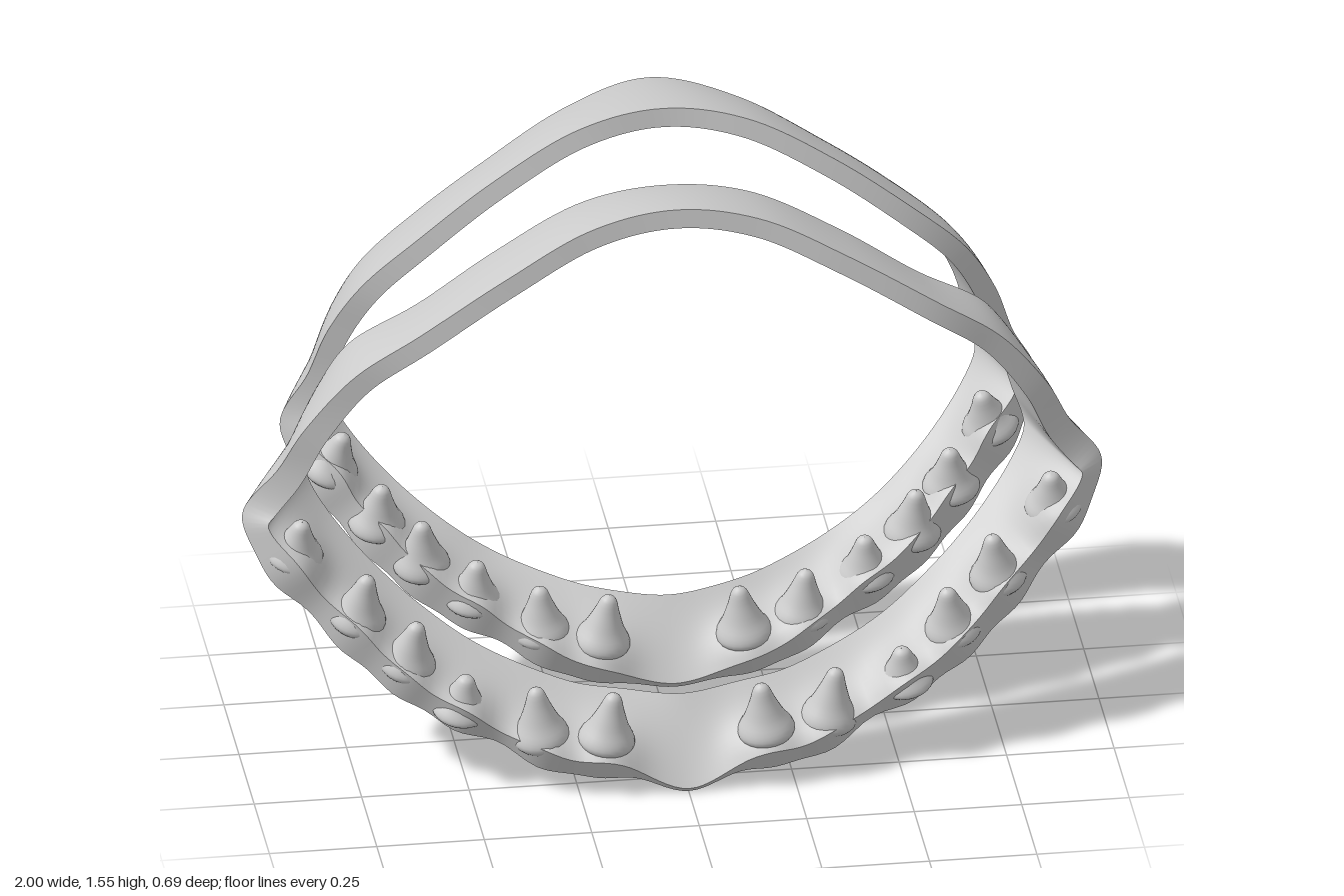
import * as THREE from 'three';

const material = new THREE.MeshStandardMaterial({ color: 0xcccccc, side: THREE.DoubleSide });
const STEPS = 240, ACROSS = 12;
const { smoothstep, lerp } = THREE.MathUtils;

// Closed, mirrored curve from the points of its left half (top to bottom).
function loopCurve(half) {
  const left = half.map(p => new THREE.Vector3(...p));
  const right = left.slice(1, -1).reverse().map(p => new THREE.Vector3(-p.x, p.y, p.z));
  return new THREE.CatmullRomCurve3([...left, ...right], true, 'catmullrom', 0.5);
}

// Band between a front and a back edge, thickened inwards, swelling into gums around the tooth roots.
function makeBand(frontHalf, backHalf, roots, name) {
  const front = loopCurve(frontHalf), back = loopCurve(backHalf);
  const middle = u => front.getPoint((u + 1) % 1).add(back.getPoint((u + 1) % 1));
  const swell = p => Math.min(1, roots.reduce((sum, r) =>
    sum + Math.exp(-((Math.abs(p.x) - r[0]) ** 2 + (p.y - r[1]) ** 2 + (p.z - r[2]) ** 2) / 0.006), 0));
  const outer = [], inner = [];
  for (let i = 0; i < STEPS; i++) {
    const u = i / STEPS;
    const f = front.getPoint(u), b = back.getPoint(u);
    const forward = f.clone().sub(b).normalize();
    const out = forward.clone().cross(middle(u + 0.012).sub(middle(u - 0.012))).normalize();
    const low = smoothstep(0.75 - f.y, 0, 0.4), high = smoothstep(f.y, 1.05, 1.25);
    const side = 0.045 + 0.03 * Math.pow(Math.abs(f.x), 6);
    const frontThick = side * (1 - 0.65 * smoothstep(0.75 - f.y, 0.3, 0.7));
    const backThick = 0.045 + 0.012 * high + 0.022 * low;
    outer.push([]);
    inner.push([]);
    for (let j = 0; j <= ACROSS; j++) {
      const s = j / ACROSS, p = f.clone().lerp(b, s), bump = swell(p);
      const crown = 0.024 * s * (1 - s);
      p.addScaledVector(forward, 0.026 * bump * (1 - s) ** 2);
      outer[i].push(p.clone().addScaledVector(out, crown + 0.014 * bump));
      inner[i].push(p.clone().addScaledVector(out, -lerp(frontThick, backThick, s) - 0.05 * bump * (1 - s)));
    }
  }
  // Four separate sheets keep the edges sharp: outside, back rim, inside, front rim.
  const sheets = [
    outer,
    outer.map((row, i) => [row[ACROSS], inner[i][ACROSS]]),
    inner.map(row => [...row].reverse()),
    inner.map((row, i) => [row[0], outer[i][0]])
  ];
  const positions = [], index = [];
  for (const sheet of sheets) {
    const base = positions.length / 3, n = sheet[0].length;
    sheet.forEach((row, i) => {
      row.forEach(p => positions.push(p.x, p.y, p.z));
      for (let j = 0; j < n - 1; j++) {
        const a = base + i * n + j, c = base + ((i + 1) % STEPS) * n + j;
        index.push(a, c, a + 1, c, c + 1, a + 1);
      }
    });
  }
  const geometry = new THREE.BufferGeometry();
  geometry.setAttribute('position', new THREE.Float32BufferAttribute(positions, 3));
  geometry.setIndex(index);
  geometry.computeVertexNormals();
  const mesh = new THREE.Mesh(geometry, material);
  mesh.name = name;
  return mesh;
}

// Tooth of unit height: a rounded root flaring above the gum, then a hollow taper to a blunt point.
const toothProfile = new THREE.SplineCurve([
  [0.001, 0], [0.2, 0.03], [0.32, 0.15], [0.32, 0.28], [0.23, 0.48], [0.15, 0.72], [0.085, 0.94], [0.001, 1]
].map(p => new THREE.Vector2(...p))).getPoints(24);
const toothGeometry = new THREE.LatheGeometry(toothProfile, 24);

function makeTooth(root, tip, side) {
  const a = new THREE.Vector3(...root), b = new THREE.Vector3(...tip);
  a.x *= side;
  b.x *= side;
  const dir = b.sub(a), height = dir.length();
  const tooth = new THREE.Mesh(toothGeometry, material);
  tooth.position.copy(a);
  tooth.quaternion.setFromUnitVectors(new THREE.Vector3(0, 1, 0), dir.normalize());
  tooth.scale.set(0.2, height, 0.19);
  tooth.name = side > 0 ? 'leftTooth' : 'rightTooth';
  return tooth;
}

// One jaw: a band and two mirrored rows of teeth.
function makeJaw(name, front, back, teeth) {
  const jaw = new THREE.Group();
  jaw.name = name + 'Jaw';
  jaw.add(makeBand(front, back, teeth.map(t => t[0]), name + 'Band'));
  for (const [root, tip] of teeth)
    for (const side of [1, -1]) jaw.add(makeTooth(root, tip, side));
  return jaw;
}

export function createModel() {
  const model = new THREE.Group();
  model.name = 'toothedBands';

  // Each tooth is a root and a tip.
  model.add(makeJaw('front',
    [[0, 1.41, 0.125], [0.2, 1.375, 0.135], [0.4, 1.275, 0.16], [0.6, 1.15, 0.17], [0.75, 1.04, 0.145],
      [0.86, 0.9, 0.115], [0.92, 0.78, 0.08], [1, 0.65, 0.05], [0.93, 0.52, 0.09], [0.8, 0.385, 0.14],
      [0.65, 0.255, 0.195], [0.5, 0.17, 0.235], [0.3, 0.08, 0.28], [0.15, 0.06, 0.31], [0, 0.005, 0.325]],
    [[0, 1.38, -0.06], [0.2, 1.35, -0.055], [0.4, 1.25, -0.035], [0.58, 1.13, -0.03], [0.735, 1.04, -0.035],
      [0.81, 0.92, -0.055], [0.845, 0.81, -0.085], [0.87, 0.7, -0.095], [0.825, 0.58, -0.065], [0.725, 0.45, -0.01],
      [0.6, 0.34, 0.04], [0.46, 0.25, 0.09], [0.28, 0.18, 0.13], [0.14, 0.155, 0.155], [0, 0.15, 0.165]],
    [[[0.19, 0.1, 0.28], [0.17, 0.26, 0.305]], [[0.33, 0.105, 0.255], [0.35, 0.275, 0.28]],
      [[0.52, 0.18, 0.215], [0.505, 0.3, 0.25]], [[0.64, 0.28, 0.175], [0.615, 0.43, 0.22]],
      [[0.75, 0.385, 0.135], [0.725, 0.54, 0.18]], [[0.885, 0.535, 0.075], [0.87, 0.66, 0.12]]]));

  model.add(makeJaw('back',
    [[0, 1.555, -0.105], [0.2, 1.52, -0.09], [0.4, 1.41, -0.07], [0.58, 1.275, -0.06], [0.7, 1.16, -0.08],
      [0.775, 1.03, -0.12], [0.82, 0.9, -0.15], [0.88, 0.76, -0.18], [0.81, 0.63, -0.14], [0.7, 0.5, -0.085],
      [0.57, 0.385, -0.025], [0.43, 0.305, 0.025], [0.27, 0.225, 0.065], [0.14, 0.19, 0.09], [0, 0.16, 0.1]],
    [[0, 1.515, -0.34], [0.2, 1.475, -0.295], [0.4, 1.36, -0.265], [0.55, 1.25, -0.26], [0.67, 1.14, -0.265],
      [0.735, 1.02, -0.295], [0.77, 0.9, -0.318], [0.79, 0.79, -0.32], [0.75, 0.68, -0.29], [0.655, 0.56, -0.23],
      [0.535, 0.46, -0.17], [0.41, 0.38, -0.13], [0.26, 0.33, -0.09], [0.13, 0.305, -0.06], [0, 0.295, -0.05]],
    [[[0.17, 0.24, 0.06], [0.15, 0.4, 0.085]], [[0.3, 0.265, 0.035], [0.31, 0.42, 0.06]],
      [[0.46, 0.345, -0.005], [0.45, 0.48, 0.03]], [[0.57, 0.42, -0.045], [0.575, 0.575, 0]],
      [[0.67, 0.51, -0.095], [0.66, 0.65, -0.05]], [[0.775, 0.63, -0.155], [0.74, 0.76, -0.11]]]));

  return model;
}
